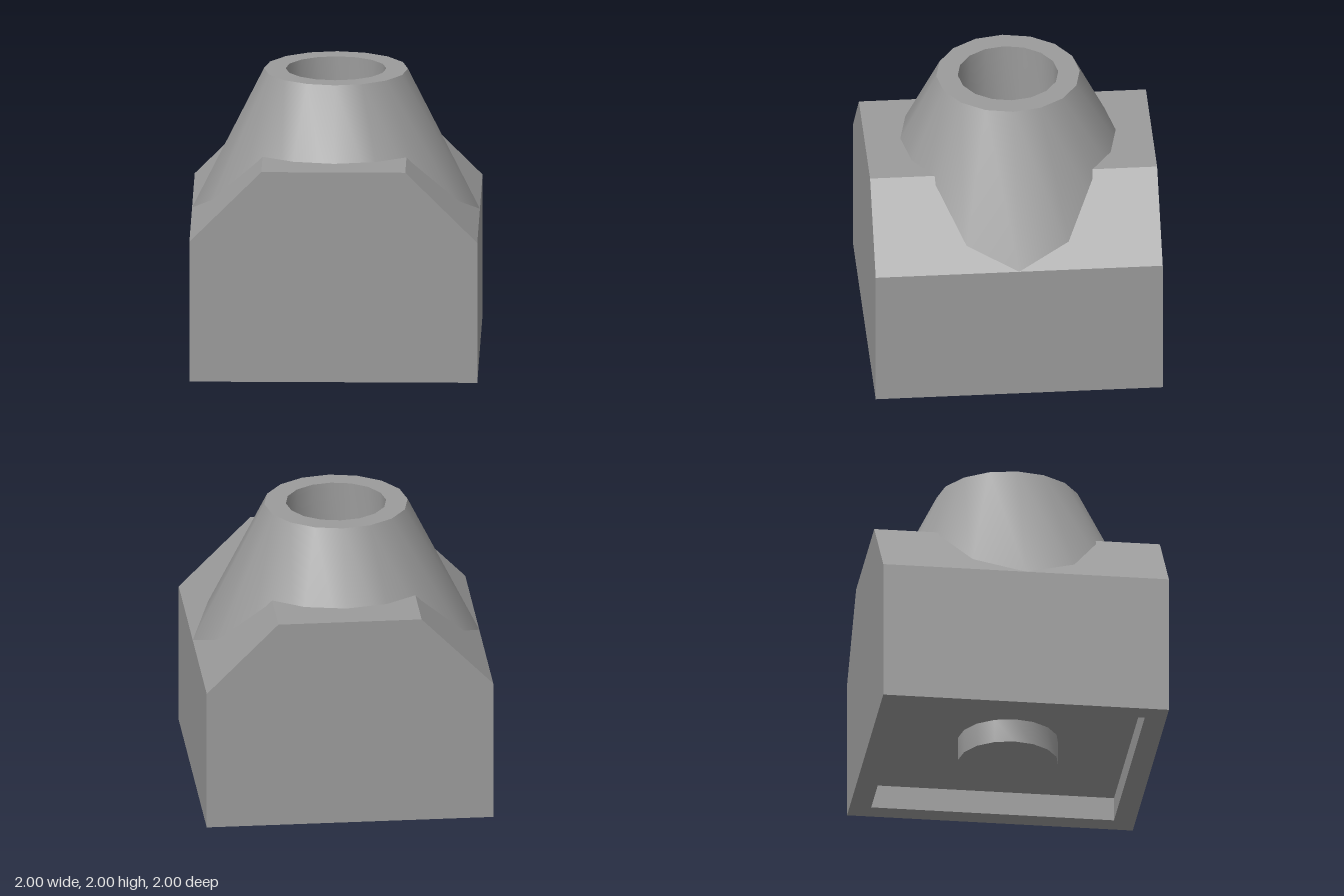
import * as THREE from 'three';
import { toCreasedNormals } from 'three/addons/utils/BufferGeometryUtils.js';

const RECESS = 0.17; // depth of the hollow underneath
const SIDES = 16;

export function createModel() {
  const model = new THREE.Group();
  const material = new THREE.MeshStandardMaterial({ color: 0x9b9b9b });
  const add = (name, geometry) => {
    const mesh = new THREE.Mesh(geometry, material);
    mesh.name = name;
    model.add(mesh);
  };
  const polygon = (points) => new THREE.Shape(points.map(([x, y]) => new THREE.Vector2(x, y)));
  const square = (h) => [[-h, -h], [h, -h], [h, h], [-h, h]];
  // Faceted profile turned round the y axis, listed from the outer bottom upwards
  const turn = (points) => toCreasedNormals(
    new THREE.LatheGeometry(points.map(([r, y]) => new THREE.Vector2(r, y)), SIDES), 0.6);

  // Block with two sloped shoulders
  const profile = polygon([[-1, RECESS], [1, RECESS], [1, 1], [0.5, 1.5], [-0.5, 1.5], [-1, 1]]);
  const block = new THREE.ExtrudeGeometry(profile, { depth: 2, bevelEnabled: false });
  block.translate(0, 0, -1);
  add('slopedBlock', block);

  // Square rim around the hollow underside
  const rim = polygon(square(1));
  rim.holes.push(polygon(square(0.85)));
  const rimGeometry = new THREE.ExtrudeGeometry(rim, { depth: RECESS, bevelEnabled: false });
  rimGeometry.rotateX(-Math.PI / 2);
  add('bottomRim', rimGeometry);

  // Conical neck with a blind round socket in its top
  add('conicalNeck', turn([[1, 1], [0.5, 2], [0.35, 2], [0.35, 1.5], [0, 1.5]]));

  // Round peg in the hollow, flush with the rim
  add('bottomPeg', turn([[0, 0], [0.35, 0], [0.35, RECESS]]));

  return model;
}
